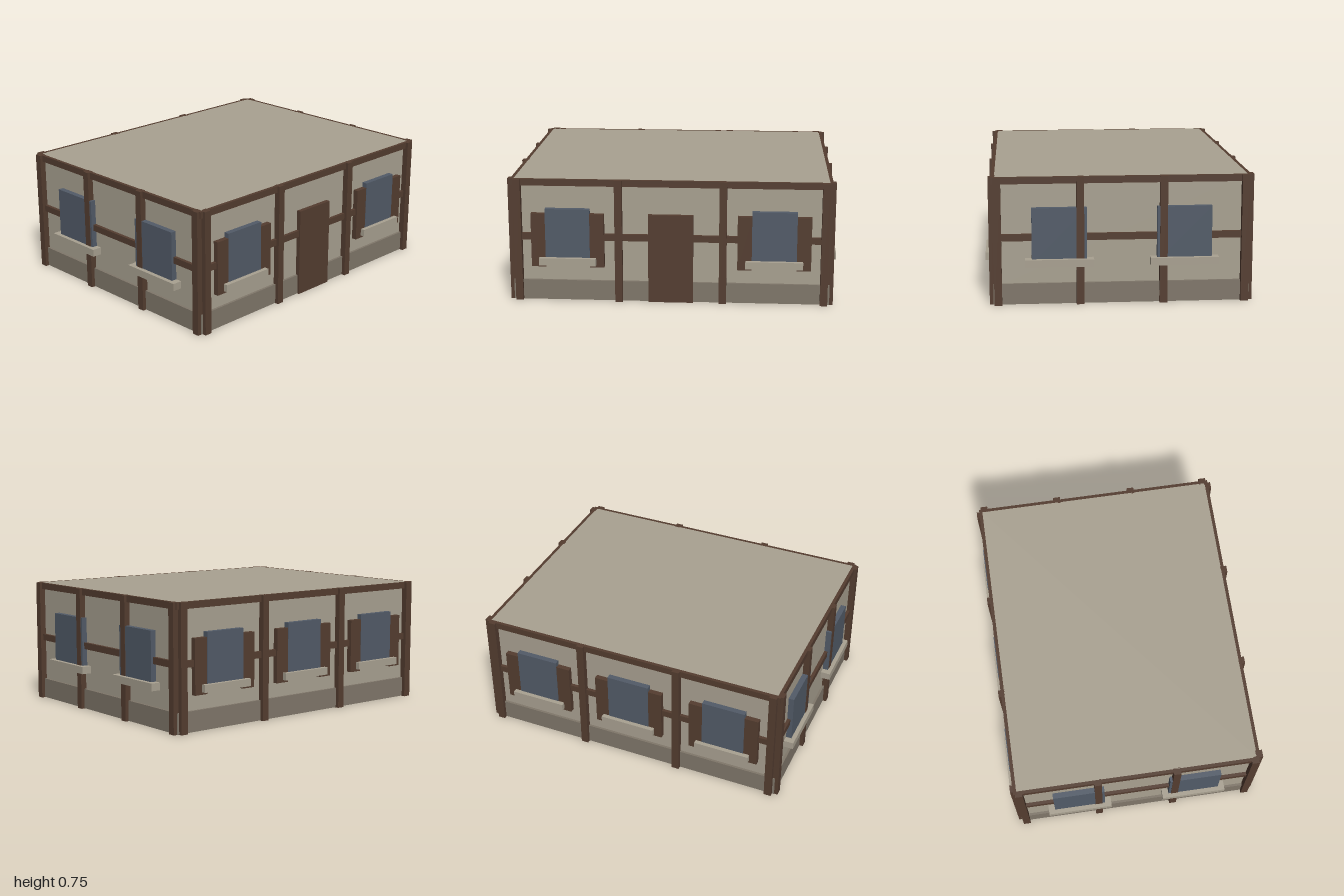
import * as THREE from 'three';

const mat = (name, color) => Object.assign(new THREE.MeshStandardMaterial({ color }), { name });

export function createModel() {
  const plaster = mat('plaster', 0xa9a191);
  const timber = mat('timber', 0x543d30);
  const stone = mat('stone', 0x80776a);
  const glass = mat('glass', 0x525b68);

  const H = 0.755, WX = 0.94, WZ = 0.735; // height and wall half-sizes
  const model = new THREE.Group();
  model.name = 'timberFramedStorey';

  // box from its min and max corners
  const box = (parent, name, material, x0, x1, y0, y1, z0, z1) => {
    const m = new THREE.Mesh(new THREE.BoxGeometry(x1 - x0, y1 - y0, z1 - z0), material);
    m.position.set((x0 + x1) / 2, (y0 + y1) / 2, (z0 + z1) / 2);
    m.name = name;
    parent.add(m);
  };

  // body and plinth; the plinth clears the post feet slightly
  box(model, 'plasterWalls', plaster, -WX, WX, 0.1, H, -WZ, WZ);
  box(model, 'stonePlinth', stone, -0.955, 0.955, 0.002, 0.125, -0.75, 0.75);

  // one side of the frame, built facing +z with the wall plane at z = 0
  const makeSide = (name, half, postXs, beamHalf) => {
    const side = new THREE.Group();
    side.name = name;
    box(side, 'topBeam', timber, -beamHalf, beamHalf, 0.715, H, 0, 0.02);
    box(side, 'middleBeam', timber, -half, half, 0.38, 0.42, 0, 0.02);
    for (const x of postXs) box(side, 'post', timber, x - 0.0225, x + 0.0225, 0, H, -0.005, 0.037);
    model.add(side);
    return side;
  };

  // window with sill, and shutters on request
  const addWindow = (side, x, glassHalf, sillHalf, shutters) => {
    const win = new THREE.Group();
    win.name = 'window';
    win.position.x = x;
    box(win, 'pane', glass, -glassHalf, glassHalf, 0.25, 0.575, 0, 0.034);
    box(win, 'sill', plaster, -sillHalf, sillHalf, 0.23, 0.275, 0, 0.06);
    if (shutters) for (const s of [-1, 1]) {
      const a = s * 0.133, b = s * 0.22;
      box(win, 'shutter', timber, Math.min(a, b), Math.max(a, b), 0.215, 0.545, 0, 0.032);
    }
    side.add(win);
  };

  // front and back
  const longPosts = [-0.92, -0.313, 0.313, 0.92];
  const front = makeSide('frontSide', WX, longPosts, 0.96);
  front.position.z = WZ;
  box(front, 'door', timber, -0.135, 0.135, 0, 0.545, 0, 0.027);
  const back = makeSide('backSide', WX, longPosts, 0.96);
  back.position.z = -WZ;
  back.rotation.y = Math.PI;
  for (const x of [-0.62, 0.62]) addWindow(front, x, 0.134, 0.172, true);
  for (const x of [-0.62, 0, 0.62]) addWindow(back, x, 0.134, 0.172, true);

  // left and right ends
  for (const s of [-1, 1]) {
    const end = makeSide(s > 0 ? 'leftSide' : 'rightSide', WZ, [-0.722, -0.243, 0.243, 0.722], WZ);
    end.position.x = s * WX;
    end.rotation.y = s * Math.PI / 2;
    for (const x of [-0.365, 0.365]) addWindow(end, x, 0.16, 0.2, false);
  }
  return model;
}
